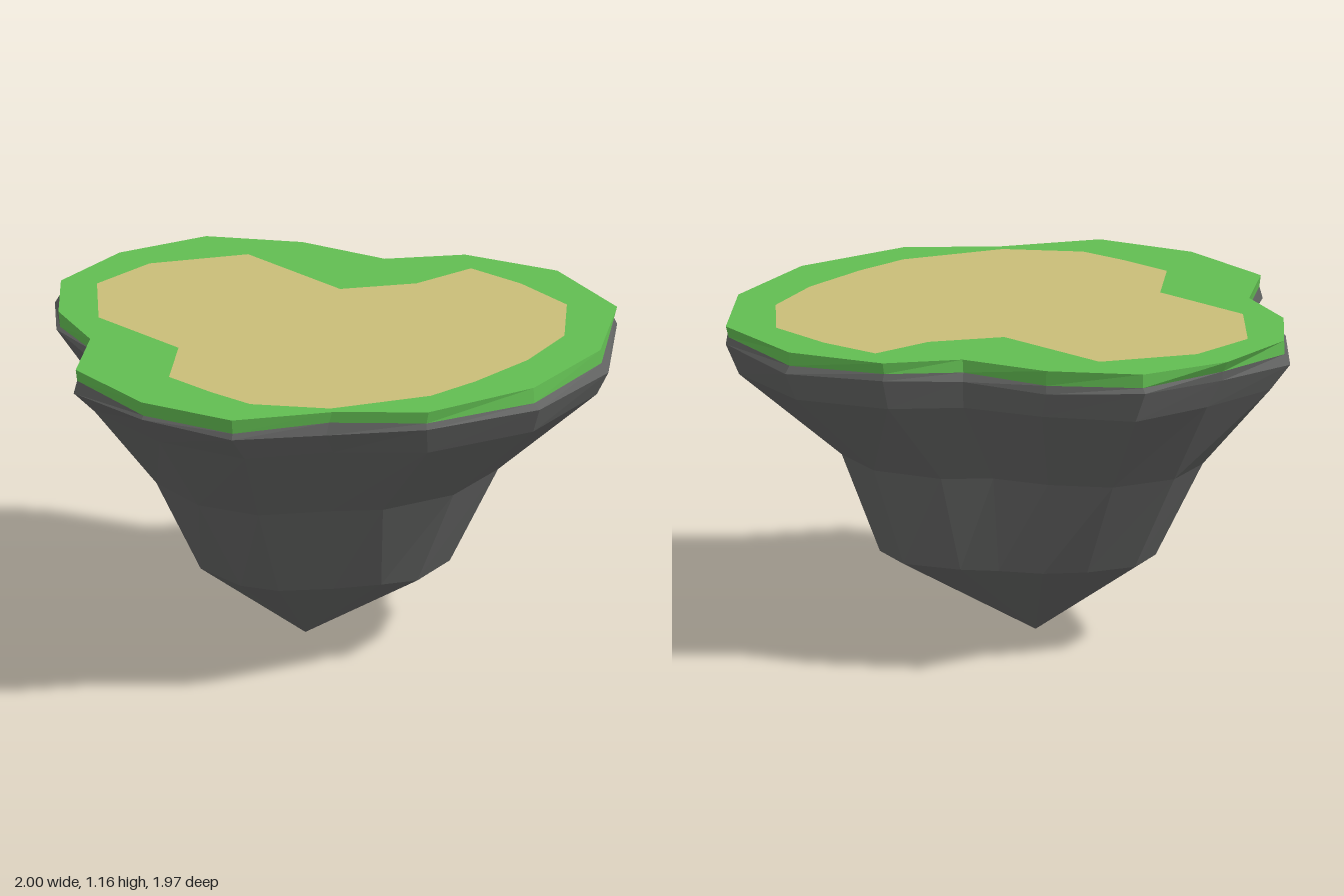
import * as THREE from 'three';

const mat = (name, color) => {
  const m = new THREE.MeshStandardMaterial({ color, flatShading: true });
  m.name = name;
  return m;
};

// Outlines as [x, z] pairs, clockwise from above, starting at the back
const grassEdge = [[0.21, -0.97], [0.61, -0.87], [0.87, -0.53], [0.97, -0.1], [0.88, 0.33], [0.64, 0.57],
  [0.45, 0.88], [0.1, 0.98], [-0.29, 0.92], [-0.47, 0.67], [-0.74, 0.56], [-0.95, 0.34],
  [-1, 0], [-0.9, -0.33], [-0.62, -0.53], [-0.3, -0.62], [-0.13, -0.85]];
const rim = [[0.21, -0.99], [0.61, -0.87], [0.89, -0.55], [1, -0.1], [0.88, 0.34], [0.63, 0.59],
  [0.45, 0.88], [0.1, 0.98], [-0.29, 0.93], [-0.47, 0.67], [-0.74, 0.57], [-0.97, 0.35],
  [-0.97, 0], [-0.92, -0.34], [-0.62, -0.53], [-0.32, -0.64], [-0.13, -0.85]];
const waist = [[0.13, -0.62], [0.36, -0.54], [0.55, -0.34], [0.62, -0.05], [0.55, 0.23], [0.43, 0.37],
  [0.28, 0.58], [0.06, 0.66], [-0.2, 0.61], [-0.33, 0.46], [-0.5, 0.39], [-0.65, 0.24],
  [-0.72, 0.02], [-0.64, -0.21], [-0.45, -0.34], [-0.25, -0.41], [-0.12, -0.54]];
const foot = [[0.09, -0.51], [0.27, -0.44], [0.41, -0.24], [0.47, -0.02], [0.41, 0.1], [0.32, 0.25],
  [0.2, 0.4], [0.07, 0.46], [-0.15, 0.44], [-0.25, 0.36], [-0.33, 0.31], [-0.47, 0.19],
  [-0.53, 0.02], [-0.46, -0.15], [-0.36, -0.27], [-0.22, -0.35], [-0.11, -0.43]];
const sandEdge = [[-0.02, -0.77], [0.21, -0.79], [0.47, -0.76], [0.68, -0.54], [0.76, -0.28], [0.78, 0],
  [0.77, 0.21], [0.61, 0.55], [0.38, 0.72], [0.2, 0.735], [-0.01, 0.735], [-0.19, 0.51],
  [-0.6, 0.5], [-0.84, 0.27], [-0.85, 0], [-0.67, -0.31], [-0.2, -0.3], [-0.05, -0.53]];

const TOP = 1.16;
const at = (ring, y) => ring.map(([x, z]) => [x, y, z]);

// Skin between stacked rings listed from bottom to top
function skin(rings) {
  const pos = [];
  for (let r = 0; r < rings.length - 1; r++) {
    const lo = rings[r], hi = rings[r + 1], n = lo.length;
    for (let i = 0; i < n; i++) {
      const j = (i + 1) % n;
      pos.push(...lo[j], ...lo[i], ...hi[i], ...lo[j], ...hi[i], ...hi[j]);
    }
  }
  const g = new THREE.BufferGeometry();
  g.setAttribute('position', new THREE.Float32BufferAttribute(pos, 3));
  g.computeVertexNormals();
  return g;
}

// Flat horizontal surface, optionally with a hole
function flat(outline, hole) {
  const pts = o => o.map(([x, z]) => new THREE.Vector2(x, -z));
  const shape = new THREE.Shape(pts(outline));
  if (hole) shape.holes.push(new THREE.Path(pts(hole)));
  return new THREE.ShapeGeometry(shape).rotateX(-Math.PI / 2).translate(0, TOP, 0);
}

export function createModel() {
  const group = new THREE.Group();
  const rock = mat('rock grey', 0x626362);
  const grass = mat('grass green', 0x62bd52);
  const sand = mat('sand', 0xc9bd78);
  const add = (name, geometry, material) => {
    const mesh = new THREE.Mesh(geometry, material);
    mesh.name = name;
    group.add(mesh);
  };

  // Tapering rock, from its tip up to the uneven rim
  const tip = foot.map(() => [-0.04, 0, 0.03]);
  const shoulder = rim.map(([x, z]) => [x * 0.95, 0.985, z * 0.93 - 0.025]);
  const lip = rim.map(([x, z], i) => [x, 1.085 + 0.012 * Math.sin(i * 2.1), z]);
  const turf = rim.map(([x, z], i) => {
    const [gx, gz] = grassEdge[i];
    return [(x + gx) * 0.495, 1.112 + 0.008 * Math.sin(i * 1.7), (z + gz) * 0.495];
  });
  add('rockBase', skin([tip, at(foot, 0.32), at(waist, 0.675), shoulder, lip, turf]), rock);

  // Grass band and top border
  add('grassBand', skin([turf, at(grassEdge, TOP)]), grass);
  add('grassTop', flat(grassEdge, sandEdge), grass);

  // Sandy clearing
  add('sandClearing', flat(sandEdge), sand);
  return group;
}
